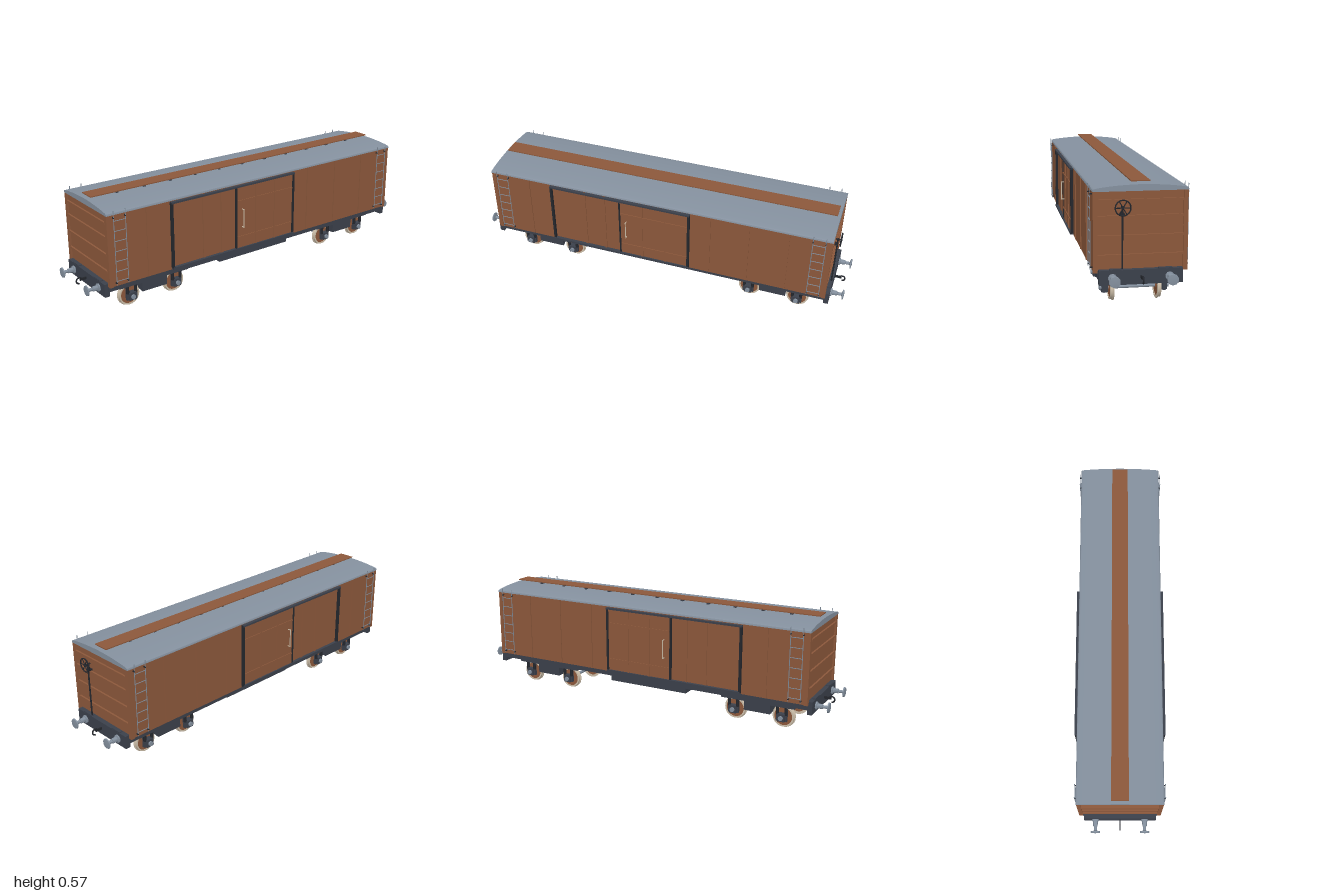
import * as THREE from 'three';
import { toCreasedNormals } from 'three/addons/utils/BufferGeometryUtils.js';

const paint = (name, color) => {
  const m = new THREE.MeshStandardMaterial({ color });
  m.name = name;
  return m;
};

export function createModel() {
  const brown = paint('body brown', 0x8c583b);
  const roofGrey = paint('roof grey', 0x84909e);
  const dark = paint('underframe grey', 0x3b404b);
  const black = paint('fitting black', 0x24272d);
  const pale = paint('tyre beige', 0xcdbfaa);

  const model = new THREE.Group();
  model.name = 'coveredWagon';
  const group = (name, parent = model) => {
    const g = new THREE.Group();
    g.name = name;
    parent.add(g);
    return g;
  };
  const add = (name, geo, mat, x, y, z, parent = model) => {
    const m = new THREE.Mesh(geo, mat);
    m.name = name;
    m.position.set(x, y, z);
    parent.add(m);
    return m;
  };
  const box = (name, mat, w, h, d, x, y, z, parent) =>
    add(name, new THREE.BoxGeometry(w, h, d), mat, x, y, z, parent);
  // cylinder lying along the axis 'x', 'y' or 'z'
  const rod = (name, mat, axis, r, len, x, y, z, parent, sides = 12, r2 = r) => {
    const g = new THREE.CylinderGeometry(r2, r, len, sides);
    if (axis === 'x') g.rotateZ(-Math.PI / 2);
    if (axis === 'z') g.rotateX(Math.PI / 2);
    return add(name, g, mat, x, y, z, parent);
  };

  // Body shell, with framed and ribbed ends
  const body = group('body');
  box('bodyShell', brown, 0.414, 0.36, 1.81, 0, 0.352, 0, body);
  for (const e of [1, -1]) {
    for (const s of [1, -1])
      box('cornerPost', brown, 0.02, 0.362, 0.02, s * 0.2, 0.351, e * 0.903, body);
    for (const y of [0.245, 0.331, 0.417, 0.488])
      box('endRib', brown, 0.38, 0.01, 0.012, 0, y, e * 0.908, body);
  }

  // Curved roof
  const roofShape = new THREE.Shape();
  roofShape.moveTo(-0.212, 0.528);
  roofShape.lineTo(0.212, 0.528);
  roofShape.lineTo(0.211, 0.535);
  roofShape.splineThru([[0.205, 0.54], [0.17, 0.546], [0.1, 0.553], [0, 0.557],
    [-0.1, 0.553], [-0.17, 0.546], [-0.205, 0.54], [-0.211, 0.535]]
    .map(([x, y]) => new THREE.Vector2(x, y)));
  const roofGeo = new THREE.ExtrudeGeometry(roofShape, { depth: 1.828, bevelEnabled: false, curveSegments: 32 });
  roofGeo.translate(0, 0, -0.914);
  add('roof', toCreasedNormals(roofGeo, 0.6), roofGrey, 0, 0, 0);

  // Roof walkway on short supports
  const walkway = group('walkway');
  box('walkwayBoard', brown, 0.084, 0.005, 1.8, 0, 0.57, 0, walkway);
  for (let i = -5; i <= 5; i++)
    box('walkwaySupport', dark, 0.056, 0.014, 0.012, 0, 0.561, i * 0.15, walkway);

  // Side walls: ribs, sliding door, rails and ladders
  for (const s of [1, -1]) {
    const side = group(s > 0 ? 'leftSide' : 'rightSide');
    for (const z of [-0.7, -0.5, -0.3, 0.27, 0.38, 0.7])
      box('sideRib', brown, 0.008, 0.352, 0.01, s * 0.208, 0.352, z, side);

    box('doorPanel', brown, 0.012, 0.335, 0.37, s * 0.21, 0.353, -0.003, side);
    for (const z of [0.06, -0.065])
      box('doorUpright', brown, 0.006, 0.335, 0.008, s * 0.217, 0.353, z, side);
    for (const y of [0.245, 0.44])
      box('doorCrossRib', brown, 0.006, 0.008, 0.36, s * 0.217, y, -0.003, side);
    box('doorEdge', black, 0.014, 0.335, 0.008, s * 0.213, 0.353, 0.183, side);
    for (const z of [0.567, -0.19])
      box('doorStop', black, 0.015, 0.345, 0.011, s * 0.214, 0.35, z, side);
    for (const y of [0.519, 0.181])
      box('doorRail', dark, 0.018, 0.009, 0.768, s * 0.215, y, 0.1885, side);

    rod('doorHandleBar', pale, 'y', 0.0025, 0.1, s * 0.231, 0.346, 0.147, side, 8);
    for (const y of [0.298, 0.394])
      rod('doorHandleStub', pale, 'x', 0.0025, 0.018, s * 0.223, y, 0.147, side, 8);

    for (const e of [1, -1]) {
      const ladder = group('ladder', side);
      for (const z of [0.818, 0.88])
        rod('ladderRail', roofGrey, 'y', 0.002, 0.37, s * 0.218, 0.366, e * z, ladder, 6);
      for (let i = 0; i < 7; i++)
        rod('ladderRung', roofGrey, 'z', 0.002, 0.062, s * 0.218, 0.2 + i * 0.05, e * 0.849, ladder, 6);
      for (const y of [0.19, 0.515])
        for (const z of [0.818, 0.88])
          box('ladderBracket', black, 0.014, 0.005, 0.005, s * 0.213, y, e * z, ladder);
    }
  }

  // Underframe and equipment box
  const frame = group('underframe');
  box('floorFrame', dark, 0.38, 0.036, 1.82, 0, 0.16, 0, frame);
  box('equipmentBox', dark, 0.26, 0.052, 0.455, 0, 0.118, 0.002, frame);

  // Headstocks with buffers, steps and coupling hook
  const bufferProfile = [[0, 0], [0.02, 0], [0.02, 0.008], [0.013, 0.01], [0.012, 0.035],
    [0.008, 0.036], [0.008, 0.058], [0.026, 0.062], [0.025, 0.068], [0, 0.071]]
    .map(([r, h]) => new THREE.Vector2(r, h));
  const bufferGeo = toCreasedNormals(new THREE.LatheGeometry(bufferProfile, 10), 0.7);
  bufferGeo.rotateX(Math.PI / 2);
  for (const e of [1, -1]) {
    const end = group(e > 0 ? 'frontHeadstock' : 'backHeadstock');
    if (e < 0) end.rotation.y = Math.PI;
    box('headstockBeam', dark, 0.372, 0.066, 0.025, 0, 0.151, 0.9175, end);
    for (const s of [1, -1]) {
      add('buffer', bufferGeo, roofGrey, s * 0.127, 0.15, 0.929, end);
      box('bufferStep', dark, 0.062, 0.004, 0.018, s * 0.109, 0.186, 0.92, end);
    }
    box('hookShank', black, 0.007, 0.012, 0.04, 0, 0.152, 0.945, end);
    const hook = add('hook', new THREE.TorusGeometry(0.015, 0.004, 6, 14, Math.PI * 1.5), black, 0, 0.147, 0.968, end);
    hook.rotation.set(0, Math.PI / 2, 0);
  }

  // Handbrake on the back end
  const brake = group('handbrake');
  rod('brakeColumn', black, 'y', 0.004, 0.3, 0.083, 0.315, -0.922, brake, 8);
  rod('brakeSpindle', black, 'z', 0.004, 0.035, 0.083, 0.46, -0.926, brake, 8);
  add('brakeWheel', new THREE.TorusGeometry(0.034, 0.003, 6, 24), black, 0.083, 0.46, -0.938, brake);
  for (let i = 0; i < 3; i++) {
    const spoke = rod('brakeSpoke', black, 'x', 0.0025, 0.066, 0.083, 0.46, -0.938, brake, 6);
    spoke.rotation.z = i * Math.PI / 3;
  }
  box('brakeBracket', black, 0.02, 0.008, 0.02, 0.083, 0.43, -0.915, brake);

  // Bogies
  const tyreProfile = [[0.047, 0.099], [0.06, 0.099], [0.06, 0.104], [0.056, 0.106],
    [0.055, 0.117], [0.047, 0.117], [0.047, 0.099]].map(([r, h]) => new THREE.Vector2(r, h));
  const tyreGeo = toCreasedNormals(new THREE.LatheGeometry(tyreProfile, 28), 0.6);
  tyreGeo.rotateZ(-Math.PI / 2);
  for (const e of [1, -1]) {
    const bogie = group(e > 0 ? 'frontBogie' : 'backBogie');
    bogie.position.z = e * 0.634;
    box('bolster', dark, 0.25, 0.052, 0.13, 0, 0.091, 0, bogie);
    box('pivot', dark, 0.1, 0.035, 0.07, 0, 0.13, 0, bogie);
    for (const s of [1, -1]) {
      box('sideFrame', dark, 0.022, 0.016, 0.39, s * 0.136, 0.124, 0, bogie);
      box('sideFrameCentre', dark, 0.02, 0.048, 0.14, s * 0.135, 0.092, 0, bogie);
      box('sideBearer', dark, 0.025, 0.012, 0.07, s * 0.136, 0.137, 0, bogie);
    }
    for (const dz of [0.129, -0.129]) {
      const wheelset = group('wheelset', bogie);
      wheelset.position.set(0, 0.06, dz);
      rod('axle', roofGrey, 'x', 0.008, 0.28, 0, 0, 0, wheelset);
      for (const s of [1, -1]) {
        const tyre = add('tyre', tyreGeo, pale, 0, 0, 0, wheelset);
        if (s < 0) tyre.rotation.y = Math.PI;
        rod('wheelDisc', brown, 'x', 0.0475, 0.013, s * 0.108, 0, 0, wheelset, 28);
        rod('wheelHub', brown, 'x', 0.017, 0.022, s * 0.108, 0, 0, wheelset, 16);
        box('axleBox', dark, 0.03, 0.04, 0.038, s * 0.137, 0.002, 0, wheelset);
        rod('axleBoxCap', roofGrey, 'x', 0.012, 0.01, s * 0.156, 0.001, 0, wheelset, 10);
        // springs and guides either side of the axle box
        for (const k of [1, -1]) {
          rod('spring', black, 'y', 0.008, 0.04, s * 0.14, 0.037, k * 0.022, wheelset, 8);
          box('axleGuide', dark, 0.016, 0.065, 0.008, s * 0.136, 0.015, k * 0.024, wheelset);
        }
      }
    }
  }
  return model;
}
